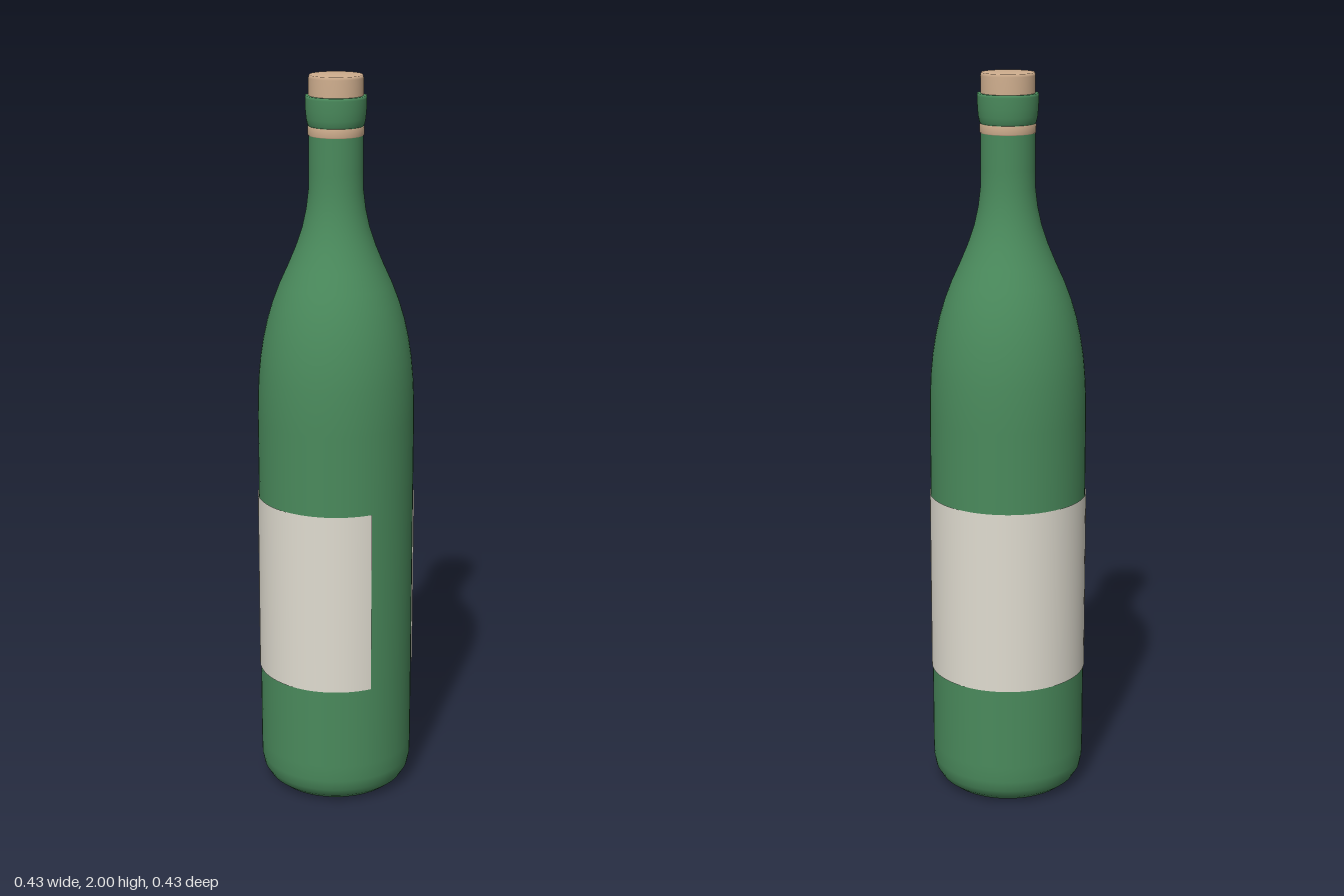
import * as THREE from 'three';

const glass = new THREE.MeshStandardMaterial({ color: 0x4a8a5c });
glass.name = 'greenGlass';
const cork = new THREE.MeshStandardMaterial({ color: 0xcfae8e });
cork.name = 'cork';
const paper = new THREE.MeshStandardMaterial({ color: 0xe0dcd0, side: THREE.DoubleSide });
paper.name = 'labelPaper';

const SEGMENTS = 64;

// Turned part from [radius, height] pairs, listed from bottom to top
function turned(name, profile, material) {
  const points = profile.map(([r, y]) => new THREE.Vector2(r, y));
  const mesh = new THREE.Mesh(new THREE.LatheGeometry(points, SEGMENTS), material);
  mesh.name = name;
  return mesh;
}

export function createModel() {
  const bottle = new THREE.Group();
  bottle.name = 'bottle';

  // Base, straight wall, sloping shoulder and neck
  bottle.add(turned('body', [
    [0, 0.005], [0.15, 0], [0.172, 0.006], [0.192, 0.022], [0.206, 0.045], [0.212, 0.075],
    [0.213, 0.12], [0.213, 1.08], [0.212, 1.14], [0.209, 1.2], [0.204, 1.25], [0.196, 1.3],
    [0.185, 1.35], [0.17, 1.4], [0.151, 1.45], [0.128, 1.5], [0.107, 1.55], [0.09, 1.6],
    [0.079, 1.65], [0.073, 1.7], [0.072, 1.75], [0.072, 1.88],
  ], glass));

  // Thin band under the lip
  bottle.add(turned('neckBand', [
    [0.071, 1.843], [0.074, 1.846], [0.074, 1.866], [0.071, 1.869],
  ], cork));

  // Flared lip with a flat rim
  bottle.add(turned('lip', [
    [0.071, 1.867], [0.075, 1.873], [0.078, 1.888], [0.08, 1.91], [0.081, 1.94],
    [0.08, 1.947], [0.068, 1.947],
  ], glass));

  // Stopper
  bottle.add(turned('stopper', [
    [0.072, 1.93], [0.072, 1.992], [0.07, 2], [0, 2],
  ], cork));

  // Wrapped label, open between the front and the left side
  const label = new THREE.Mesh(
    new THREE.CylinderGeometry(0.216, 0.216, 0.51, SEGMENTS, 1, true, Math.PI / 2, Math.PI * 5 / 3),
    paper,
  );
  label.name = 'label';
  label.position.y = 0.605;
  bottle.add(label);

  return bottle;
}
